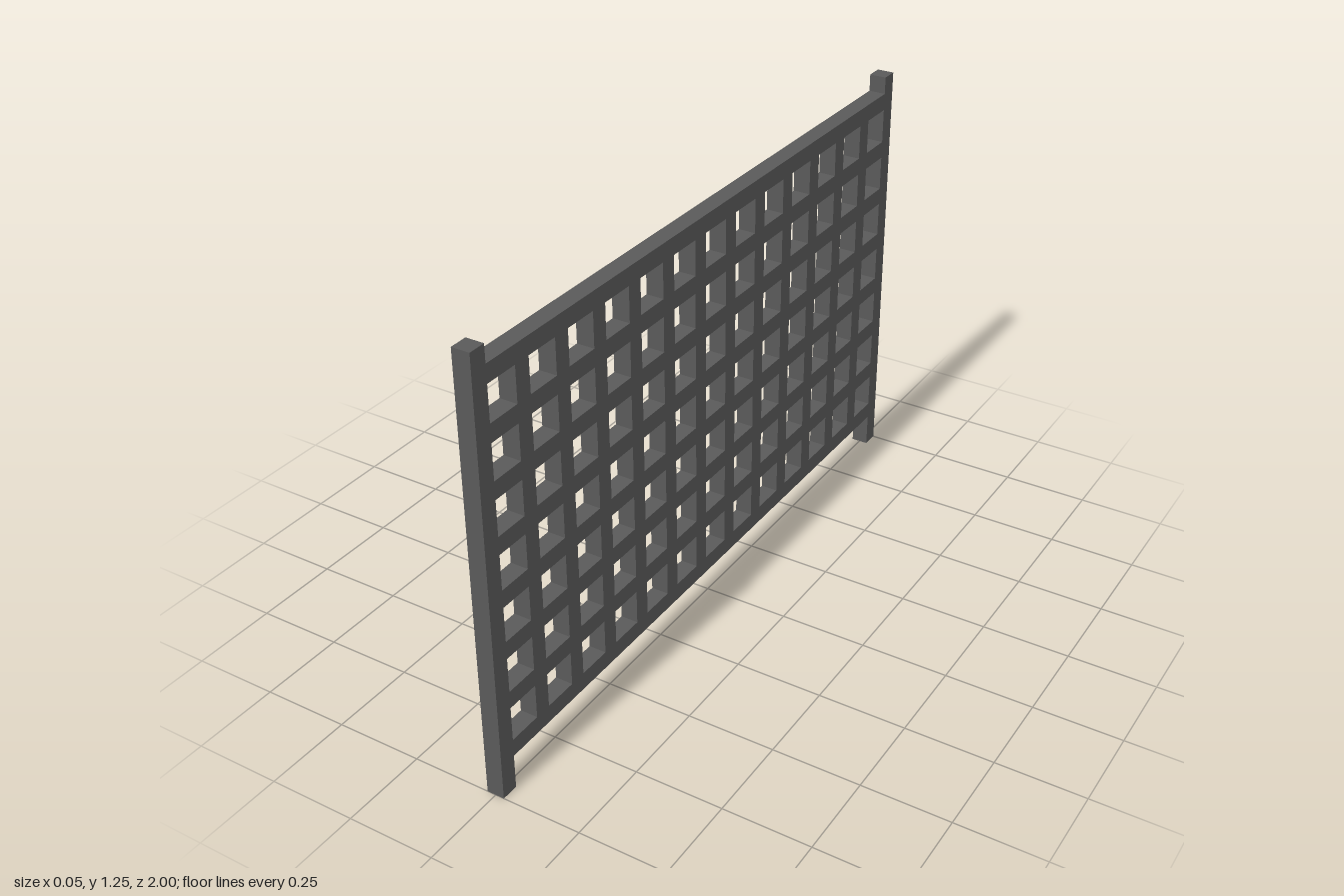
import * as THREE from 'three';

const BAR = 0.05;    // thickness of every bar and post
const PITCH = 0.15;  // spacing of the lattice
const HOLE = PITCH - BAR;
const COLUMNS = 13, ROWS = 7;
const BOTTOM = 0.1, TOP = 1.2, HEIGHT = 1.25;

function rectangle(target, x0, y0, x1, y1) {
  target.moveTo(x0, y0);
  target.lineTo(x1, y0);
  target.lineTo(x1, y1);
  target.lineTo(x0, y1);
  target.closePath();
  return target;
}

export function createModel() {
  const group = new THREE.Group();
  group.name = 'latticeFence';
  const darkGrey = new THREE.MeshStandardMaterial({ color: 0x5a5a5a });
  darkGrey.name = 'darkGrey';

  // Lattice panel between the posts, with a grid of square openings
  const inner = 1 - BAR;
  const outline = rectangle(new THREE.Shape(), -inner, BOTTOM, inner, TOP);
  for (let c = 0; c < COLUMNS; c++) {
    for (let r = 0; r < ROWS; r++) {
      // The outermost openings meet the posts; inset them by a hair to keep the outline valid
      const x0 = -inner + c * PITCH + (c === 0 ? 0.0005 : 0);
      const x1 = -inner + c * PITCH + HOLE - (c === COLUMNS - 1 ? 0.0005 : 0);
      const y0 = BOTTOM + BAR + r * PITCH;
      outline.holes.push(rectangle(new THREE.Path(), x0, y0, x1, y0 + HOLE));
    }
  }
  const panelGeometry = new THREE.ExtrudeGeometry(outline, { depth: BAR, bevelEnabled: false });
  panelGeometry.translate(0, 0, -BAR / 2).rotateY(Math.PI / 2);
  const panel = new THREE.Mesh(panelGeometry, darkGrey);
  panel.name = 'latticePanel';
  group.add(panel);

  // End posts
  for (const side of [1, -1]) {
    const post = new THREE.Mesh(new THREE.BoxGeometry(BAR, HEIGHT, BAR), darkGrey);
    post.name = side > 0 ? 'frontPost' : 'backPost';
    post.position.set(0, HEIGHT / 2, side * (1 - BAR / 2));
    group.add(post);
  }
  return group;
}
